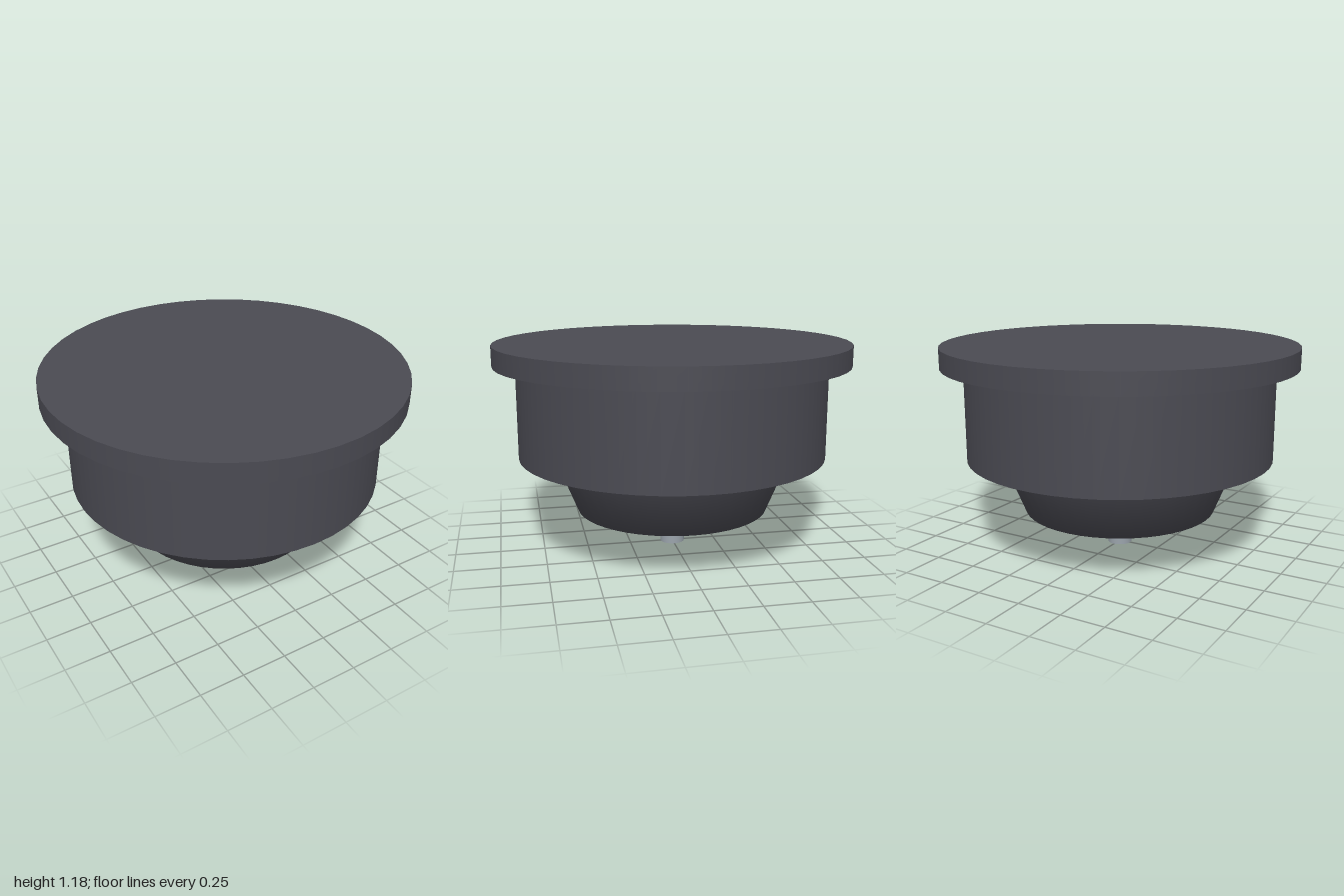
import * as THREE from 'three';

const SEGMENTS = 48;

export function createModel() {
  const charcoal = new THREE.MeshStandardMaterial({ color: 0x4a4a52 });
  charcoal.name = 'charcoal';
  const steel = new THREE.MeshStandardMaterial({ color: 0x9aa3ab });
  steel.name = 'steel';

  const model = new THREE.Group();
  model.name = 'plungerKnob';

  const add = (name, geometry, material, y = 0) => {
    const mesh = new THREE.Mesh(geometry, material);
    mesh.name = name;
    mesh.position.y = y;
    model.add(mesh);
  };

  // Upright cylinder between two heights
  const disc = (name, radius, bottom, top, material, sides = SEGMENTS) =>
    add(name, new THREE.CylinderGeometry(radius, radius, top - bottom, sides), material, (bottom + top) / 2);

  disc('topFlange', 1, 1.065, 1.18, charcoal);
  disc('collar', 0.875, 0.54, 1.065, charcoal);

  // Tapered base whose shading runs softly from the side into the flat underside
  const profile = [[0, 0.22], [0.55, 0.22], [0.68, 0.54]].map(([r, y]) => new THREE.Vector2(r, y));
  add('taperedBase', new THREE.LatheGeometry(profile, SEGMENTS), charcoal);

  // Pin below the base
  disc('pin', 0.07, 0, 0.22, steel, 32);

  return model;
}
